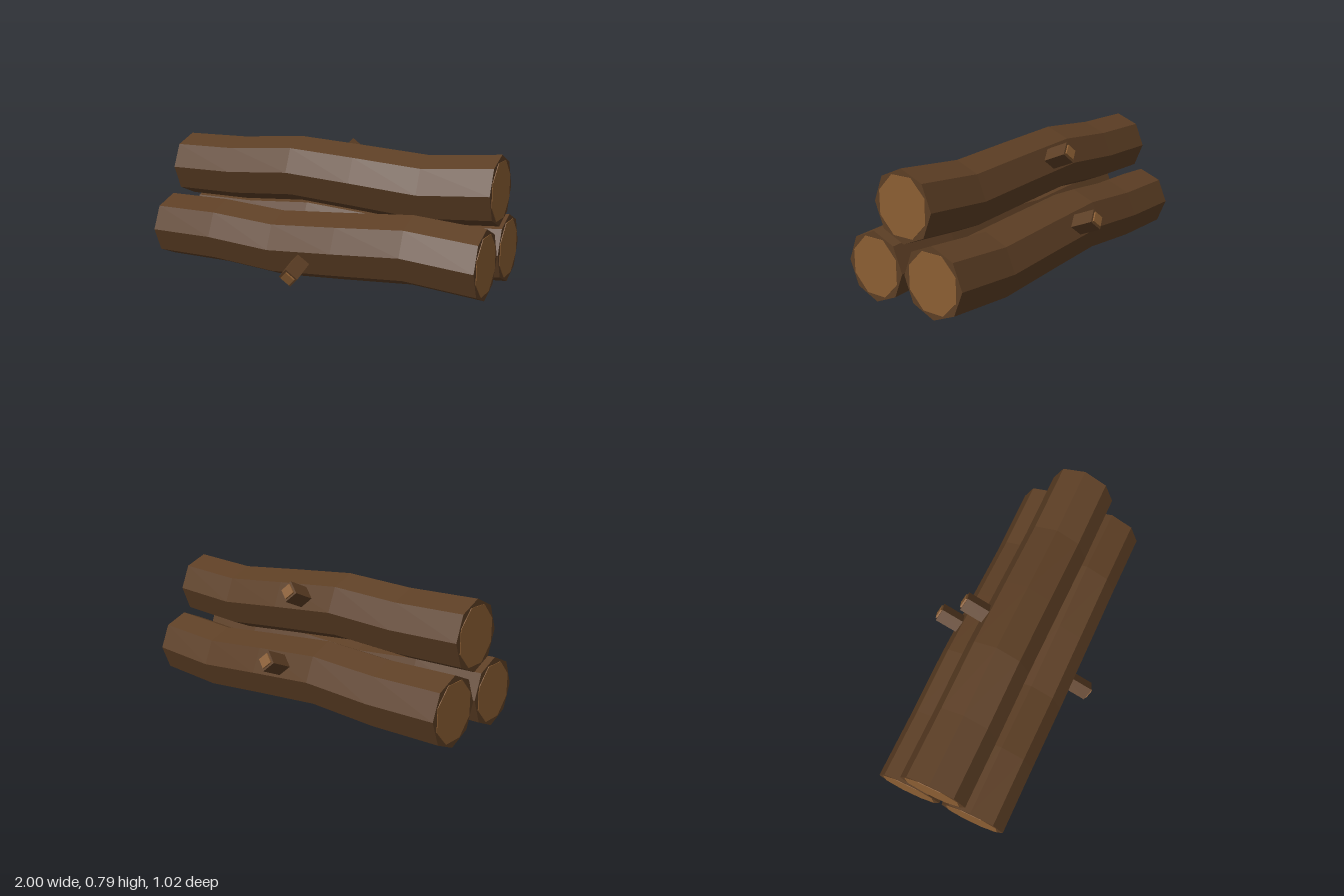
import * as THREE from 'three';

const RADIUS = 0.19;
const WAVE = [0, 0, 0.027, 0, -0.03, 0]; // height offsets from x = -1 to x = 1

export function createModel() {
  const bark = new THREE.MeshStandardMaterial({ color: 0x5c3e24, flatShading: true });
  bark.name = 'bark';
  const cutWood = new THREE.MeshStandardMaterial({ color: 0x8b5e33, flatShading: true });
  cutWood.name = 'cutWood';

  const add = (parent, name, geometry, material) => {
    const mesh = new THREE.Mesh(geometry, material);
    mesh.name = name;
    parent.add(mesh);
    return mesh;
  };

  // Eight-sided trunk along x, bent up and down by the wave
  const trunkGeometry = (bend) => {
    const g = new THREE.CylinderGeometry(RADIUS, RADIUS, 1.994, 8, 5).rotateZ(-Math.PI / 2);
    const p = g.attributes.position;
    for (let i = 0; i < p.count; i++) {
      const station = Math.round((p.getX(i) + 1) / 0.4);
      p.setY(i, p.getY(i) + bend * WAVE[station]);
    }
    g.computeVertexNormals();
    return g;
  };

  // One log: trunk, two cut ends and a branch stub pointing away from the pile
  const makeLog = (name, y, z, bend) => {
    const log = new THREE.Group();
    log.name = name;
    log.position.set(0, y, z);
    add(log, 'trunk', trunkGeometry(bend), bark);

    for (const side of [-1, 1]) {
      const disc = new THREE.CylinderGeometry(0.165, 0.165, 0.006, 8, 1, false, Math.PI / 8);
      add(log, 'cutEnd', disc.rotateZ(-Math.PI / 2), cutWood).position.x = side * 0.997;
    }

    const stub = new THREE.Group();
    stub.name = 'branchStub';
    stub.position.y = bend * 0.0135;
    // Back stubs rise, the front stub dips
    stub.rotation.x = bend > 0 ? -Math.PI * 3 / 8 : Math.PI * 5 / 8;
    add(stub, 'branch', new THREE.CylinderGeometry(0.058, 0.058, 0.19, 4), bark).position.y = 0.219;
    add(stub, 'branchTip', new THREE.CylinderGeometry(0.043, 0.043, 0.009, 4), cutWood).position.y = 0.3185;
    log.add(stub);
    return log;
  };

  const model = new THREE.Group();
  model.name = 'logPile';
  model.add(
    makeLog('frontLog', 0.225, 0.2, -1),
    makeLog('backLog', 0.225, -0.195, 1),
    makeLog('topLog', 0.575, -0.01, 1),
  );
  return model;
}
